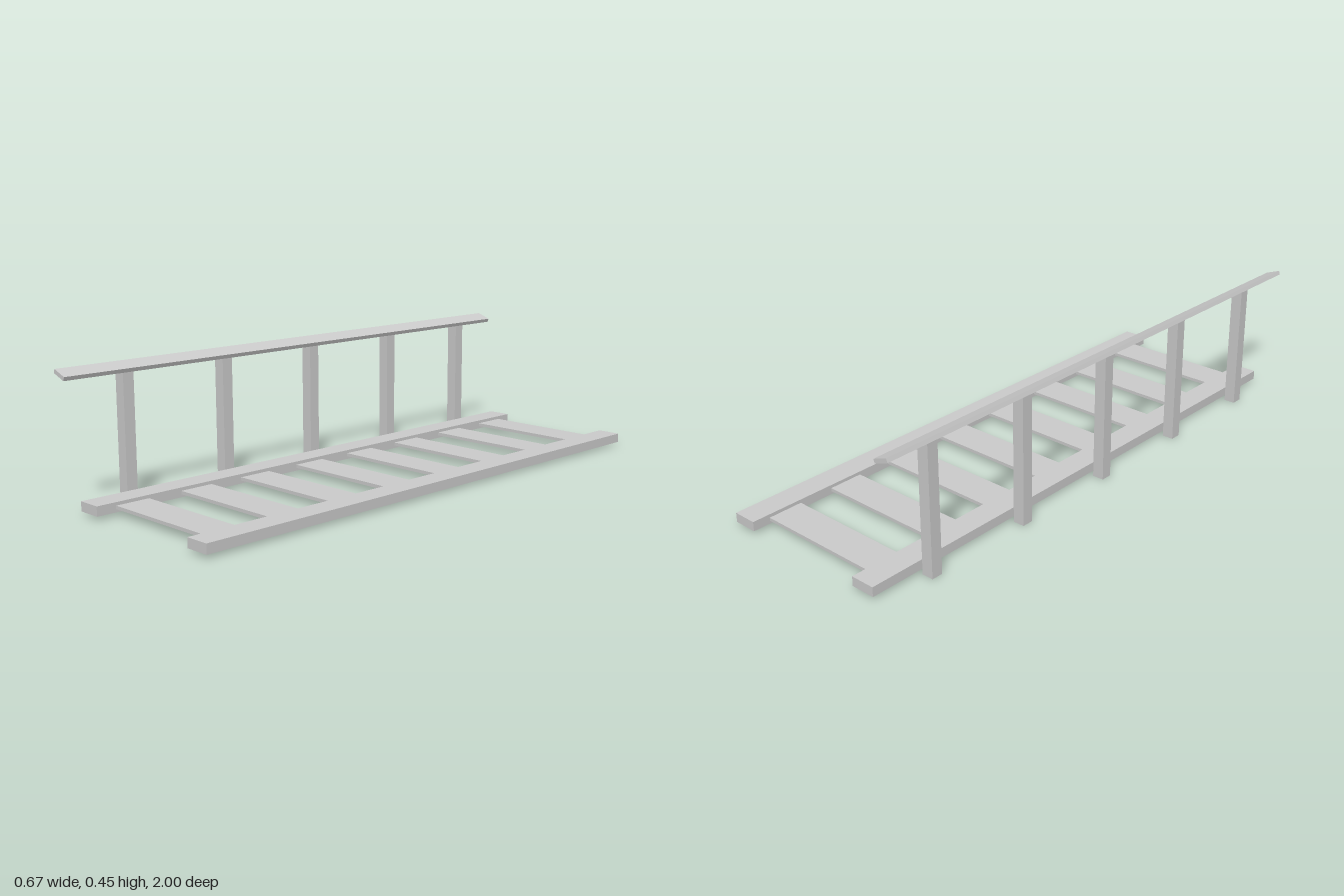
import * as THREE from 'three';

export function createModel() {
  const model = new THREE.Group();
  model.name = 'walkway';
  const material = new THREE.MeshStandardMaterial({ color: 0xcccccc, flatShading: true });

  const add = (name, geometry, x, y, z) => {
    const mesh = new THREE.Mesh(geometry, material);
    mesh.name = name;
    mesh.position.set(x, y, z);
    model.add(mesh);
    return mesh;
  };
  const box = (name, w, h, d, x, y, z) => add(name, new THREE.BoxGeometry(w, h, d), x, y, z);

  // Two long side beams; the left one is slightly out of parallel
  box('rightBeam', 0.084, 0.032, 1.96, -0.241, 0.028, -0.02);
  box('leftBeam', 0.084, 0.032, 1.96, 0.288, 0.028, -0.02).rotation.y = -0.003;

  // Flat slats between the beams
  for (let i = 0; i < 8; i++) {
    box('slat' + (i + 1), 0.448, 0.011, 0.121, 0.024, 0.0275, -0.879 + i * 0.2443);
  }

  // Railing posts with tops cut to the slope of the handrail
  const profile = new THREE.Shape([
    new THREE.Vector2(-0.331, 0),
    new THREE.Vector2(-0.291, 0),
    new THREE.Vector2(-0.291, 0.42),
    new THREE.Vector2(-0.331, 0.4345),
  ]);
  const postGeometry = new THREE.ExtrudeGeometry(profile, { depth: 0.039, bevelEnabled: false });
  postGeometry.translate(0, 0, -0.0195);
  for (let i = 0; i < 5; i++) {
    add('post' + (i + 1), postGeometry, 0, 0, -0.797 + i * 0.391);
  }

  // Tilted handrail
  box('handrail', 0.054, 0.0135, 1.966, -0.3075, 0.4335, 0.017).rotation.z = -0.355;

  return model;
}
